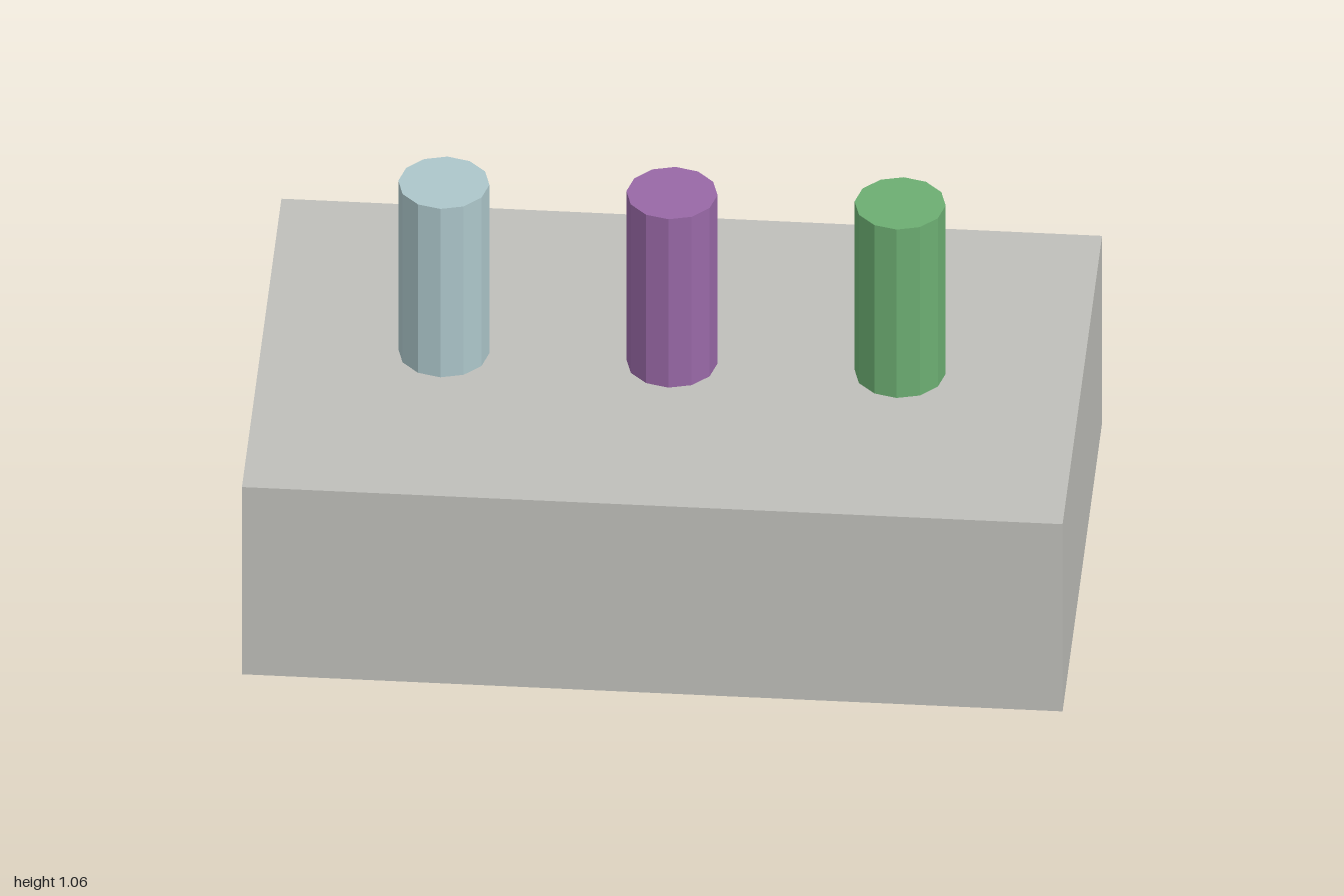
import * as THREE from 'three';

export function createModel() {
  const group = new THREE.Group();
  const mat = (name, color) => {
    const m = new THREE.MeshStandardMaterial({ color, flatShading: true });
    m.name = name;
    return m;
  };

  // Solid block standing on the ground
  const baseHeight = 0.556;
  const base = new THREE.Mesh(new THREE.BoxGeometry(2, baseHeight, 1.222), mat('warm grey', 0xbfbfba));
  base.name = 'base';
  base.position.y = baseHeight / 2;
  group.add(base);

  // Three twelve-sided pegs in a row along the top
  const pegHeight = 0.5;
  const pegGeometry = new THREE.CylinderGeometry(0.111, 0.111, pegHeight, 12);
  const pegs = [
    ['rightPeg', -0.556, mat('pale blue', 0xacc6ca)],
    ['middlePeg', 0, mat('purple', 0x9868a6)],
    ['leftPeg', 0.556, mat('green', 0x6cae72)],
  ];
  for (const [name, x, material] of pegs) {
    const peg = new THREE.Mesh(pegGeometry, material);
    peg.name = name;
    peg.position.set(x, baseHeight + pegHeight / 2, 0);
    group.add(peg);
  }
  return group;
}
